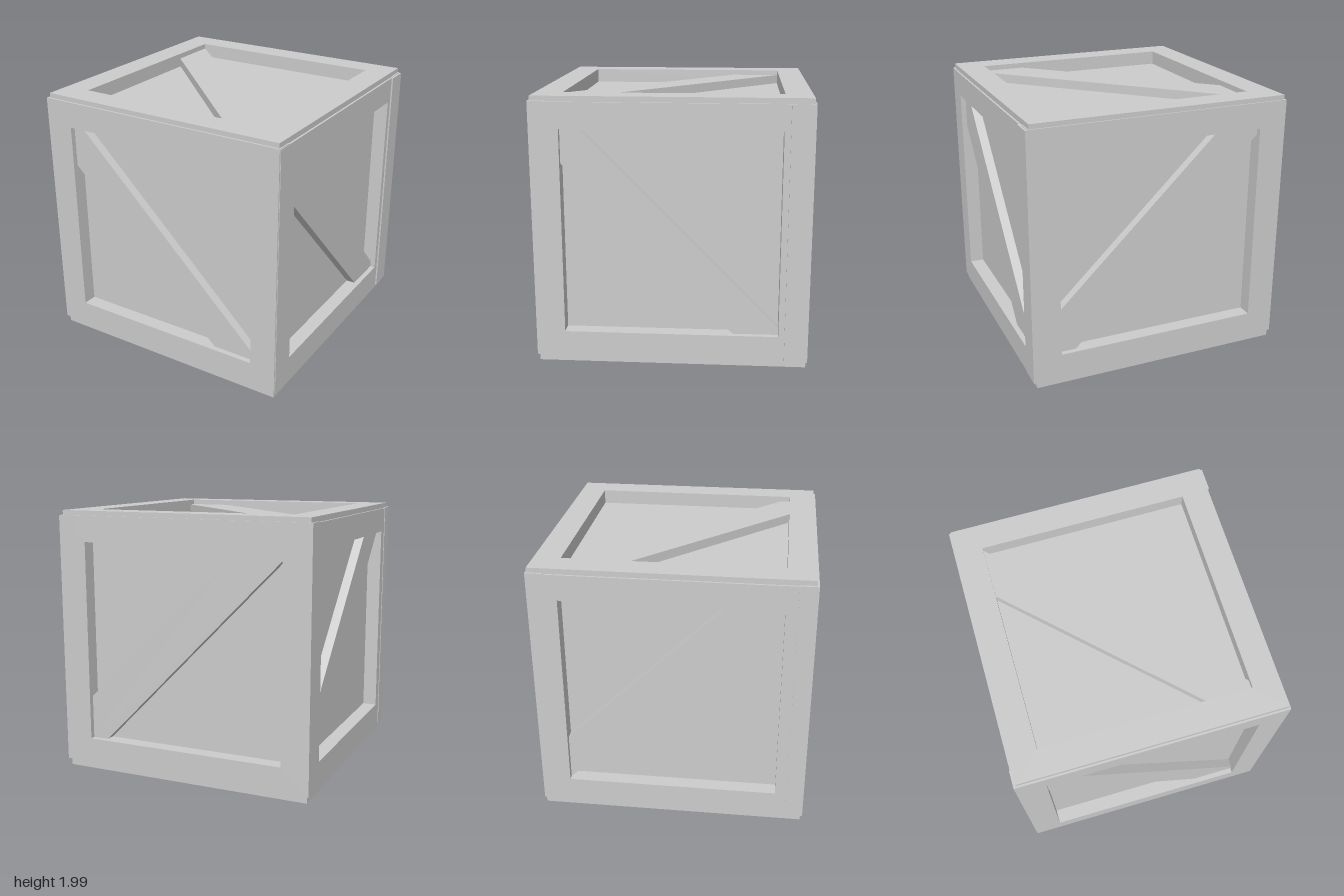
import * as THREE from 'three';

const material = new THREE.MeshStandardMaterial({ color: 0xcccccc, flatShading: true });
const FRAME_DEPTH = 0.13, RECESS = 0.11, BRACE_DROP = 0.04;

const points = (list) => list.map(([u, v]) => new THREE.Vector2(u, v));
const rect = ([u0, u1, v0, v1]) => points([[u0, v0], [u1, v0], [u1, v1], [u0, v1]]);

// Extrudes a flat shape inwards between two depths below the face plane
function slab(name, shape, near, far) {
  const geometry = new THREE.ExtrudeGeometry(shape, { depth: far - near, bevelEnabled: false });
  geometry.translate(0, 0, -far);
  const mesh = new THREE.Mesh(geometry, material);
  mesh.name = name;
  return mesh;
}

function box(name, [x0, x1], [y0, y1], [z0, z1]) {
  const mesh = new THREE.Mesh(new THREE.BoxGeometry(x1 - x0, y1 - y0, z1 - z0), material);
  mesh.position.set((x0 + x1) / 2, (y0 + y1) / 2, (z0 + z1) / 2);
  mesh.name = name;
  return mesh;
}

// One side of the crate: a square frame with a diagonal brace set into its opening
function crateSide({ name, position, rotation, outer, opening, brace }) {
  const side = new THREE.Group();
  side.name = name;
  const frame = new THREE.Shape(rect(outer));
  frame.holes.push(new THREE.Path(rect(opening)));
  side.add(slab('frame', frame, 0, FRAME_DEPTH));
  side.add(slab('diagonalBrace', new THREE.Shape(points(brace)), BRACE_DROP, RECESS + 0.01));
  side.position.set(...position);
  side.rotation.set(...rotation);
  return side;
}

const Q = Math.PI / 2;
// Each side is laid out as seen from outside: u to the right, v up
const sides = [
  {
    name: 'frontSide', position: [0, 1, 1], rotation: [0, 0, 0],
    outer: [-1, 0.975, -0.95, 0.95], opening: [-0.785, 0.775, -0.76, 0.755],
    brace: [[-0.785, 0.44], [0.44, -0.76], [0.775, -0.76], [0.775, -0.705], [-0.71, 0.755], [-0.785, 0.755]],
  },
  {
    name: 'backSide', position: [0, 1, -1], rotation: [0, 2 * Q, 0],
    outer: [-0.975, 0.995, -0.95, 0.95], opening: [-0.775, 0.785, -0.76, 0.755],
    brace: [[-0.775, -0.76], [-0.65, -0.76], [0.785, 0.7], [0.785, 0.755], [0.45, 0.755], [-0.775, -0.43]],
  },
  {
    name: 'leftSide', position: [0.98, 1, 0], rotation: [0, Q, 0],
    outer: [-0.99, 0.99, -0.95, 0.945], opening: [-0.785, 0.785, -0.76, 0.755],
    brace: [[-0.785, 0.5], [0.45, -0.76], [0.785, -0.76], [0.785, -0.71], [-0.65, 0.755], [-0.785, 0.755]],
  },
  {
    name: 'rightSide', position: [-0.995, 1, 0], rotation: [0, -Q, 0],
    outer: [-0.99, 0.99, -0.95, 0.945], opening: [-0.785, 0.785, -0.76, 0.755],
    brace: [[-0.785, -0.76], [0.785, 0.755], [0.4, 0.755], [-0.785, -0.4]],
  },
  {
    name: 'topSide', position: [0, 1.985, 0], rotation: [-Q, 0, 0],
    outer: [-0.98, 0.965, -0.985, 0.99], opening: [-0.78, 0.765, -0.785, 0.795],
    brace: [[-0.78, 0.41], [0.44, -0.785], [0.765, -0.785], [0.765, -0.715], [-0.78, 0.795]],
  },
  {
    name: 'bottomSide', position: [0, 0, 0], rotation: [Q, 0, 0],
    outer: [-0.98, 0.965, -0.99, 0.985], opening: [-0.78, 0.77, -0.785, 0.785],
    brace: [[-0.78, -0.785], [-0.39, -0.785], [0.77, 0.39], [0.77, 0.785]],
  },
];

export function createModel() {
  const crate = new THREE.Group();
  crate.name = 'crate';
  sides.forEach((side) => crate.add(crateSide(side)));
  // Recessed panels behind every frame
  crate.add(box('panels', [-0.885, 0.87], [RECESS, 1.875], [-0.89, 0.89]));
  // Corner post standing slightly proud at the back
  crate.add(box('cornerPost', [0.83, 0.992], [0.05, 1.945], [-1, -0.83]));
  return crate;
}
